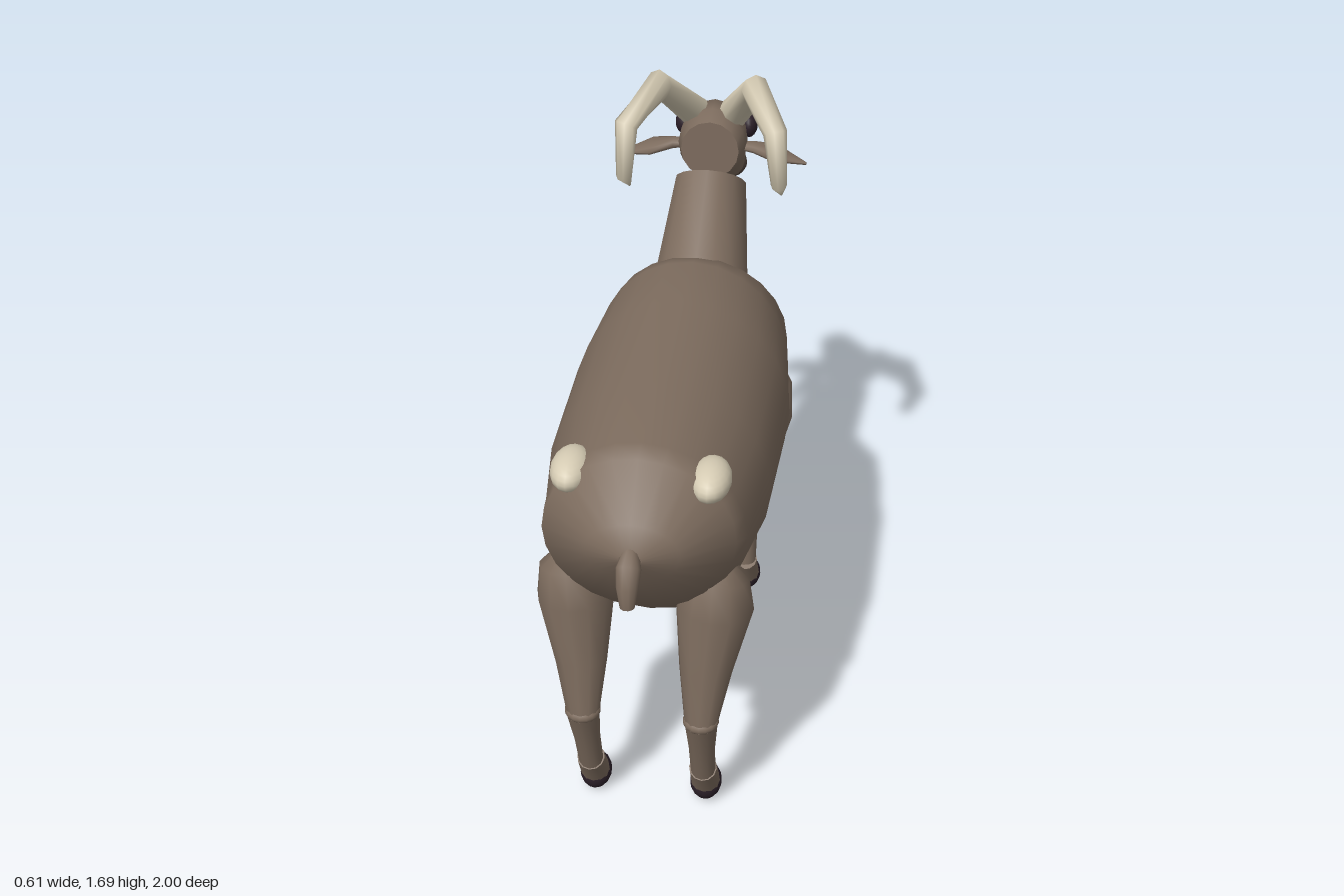
import * as THREE from 'three';

const V = (x, y, z) => new THREE.Vector3(x, y, z);
const coat = new THREE.MeshStandardMaterial({ name: 'coatBrown', color: 0x7d6c5e });
const cream = new THREE.MeshStandardMaterial({ name: 'hornCream', color: 0xd6ccb4 });
const dark = new THREE.MeshStandardMaterial({ name: 'hoofDark', color: 0x2c2029 });
const muzzle = new THREE.MeshStandardMaterial({ name: 'noseBrown', color: 0x51443c });

// Skin a row of elliptical rings {c, a, b}; a x b points along the row. Ends get flat caps.
function loft(rings, n = 16) {
  const pos = [], idx = [];
  const addRing = ({ c, a, b }) => {
    const start = pos.length / 3;
    for (let j = 0; j < n; j++) {
      const t = (j / n) * Math.PI * 2;
      const p = c.clone().addScaledVector(a, Math.cos(t)).addScaledVector(b, Math.sin(t));
      pos.push(p.x, p.y, p.z);
    }
    return start;
  };
  const starts = rings.map(addRing);
  for (let i = 0; i < rings.length - 1; i++) {
    for (let j = 0; j < n; j++) {
      const k = (j + 1) % n, p = starts[i], q = starts[i + 1];
      idx.push(p + j, p + k, q + j, p + k, q + k, q + j);
    }
  }
  [rings[0], rings[rings.length - 1]].forEach((r, end) => {
    const s = addRing(r), m = pos.length / 3;
    pos.push(r.c.x, r.c.y, r.c.z);
    for (let j = 0; j < n; j++) {
      const k = (j + 1) % n;
      if (end) idx.push(m, s + j, s + k);
      else idx.push(m, s + k, s + j);
    }
  });
  const g = new THREE.BufferGeometry();
  g.setAttribute('position', new THREE.Float32BufferAttribute(pos, 3));
  g.setIndex(idx);
  g.computeVertexNormals();
  return g;
}

// Trunk-like shape from [topZ, topY, bottomZ, bottomY, halfWidth], running towards -z
const trunk = (rows, n) => loft(rows.map(([tz, ty, bz, by, w]) => ({
  c: V(0, (ty + by) / 2, (tz + bz) / 2),
  a: V(w, 0, 0),
  b: V(0, (by - ty) / 2, (bz - tz) / 2),
})), n);

// Tapered limb through [x, y, z, radius]
function limb(pts, n = 12) {
  const p = pts.map(([x, y, z]) => V(x, y, z));
  return loft(p.map((c, i) => {
    const dir = V(0, 0, 0);
    if (i > 0) dir.add(c.clone().sub(p[i - 1]).normalize());
    if (i < p.length - 1) dir.add(p[i + 1].clone().sub(c).normalize());
    dir.normalize();
    const a = V(1, 0, 0).addScaledVector(dir, -dir.x).normalize();
    const b = dir.clone().cross(a);
    return { c, a: a.multiplyScalar(pts[i][3]), b: b.multiplyScalar(pts[i][3]) };
  }), n);
}

export function createModel() {
  const model = new THREE.Group();
  model.name = 'goat';
  const add = (name, geo, mat, parent = model) => {
    const m = new THREE.Mesh(geo, mat);
    m.name = name;
    parent.add(m);
    return m;
  };
  const ball = (name, mat, [x, y, z], [rx, ry, rz], parent) => {
    const m = add(name, new THREE.SphereGeometry(1, 16, 12), mat, parent);
    m.position.set(x, y, z);
    m.scale.set(rx, ry, rz);
    return m;
  };

  // Body, rump to chest
  add('body', trunk([
    [0.935, 1.01, 0.935, 0.98, 0.03],
    [0.91, 1.08, 0.9, 0.91, 0.12],
    [0.8, 1.2, 0.81, 0.76, 0.245],
    [0.74, 1.21, 0.65, 0.63, 0.262],
    [0.48, 1.23, 0.48, 0.6, 0.295],
    [0.07, 1.235, 0.07, 0.57, 0.305],
    [-0.15, 1.24, -0.17, 0.62, 0.277],
    [-0.24, 1.21, -0.31, 0.685, 0.262],
    [-0.45, 1.07, -0.45, 0.74, 0.19],
    [-0.49, 1.0, -0.51, 0.82, 0.1],
    [-0.53, 0.89, -0.532, 0.86, 0.02],
  ], 24), coat);

  // Neck and head
  add('neck', trunk([
    [-0.15, 1.16, -0.44, 0.94, 0.145],
    [-0.23, 1.22, -0.48, 1.02, 0.133],
    [-0.45, 1.385, -0.62, 1.235, 0.105],
  ], 16), coat);
  add('head', trunk([
    [-0.505, 1.51, -0.505, 1.335, 0.085],
    [-0.56, 1.53, -0.53, 1.325, 0.098],
    [-0.63, 1.53, -0.58, 1.3, 0.1],
    [-0.73, 1.445, -0.68, 1.252, 0.085],
    [-0.85, 1.345, -0.79, 1.2, 0.07],
    [-0.965, 1.23, -0.905, 1.147, 0.054],
  ], 16), coat);
  ball('nose', muzzle, [0, 1.183, -0.95], [0.062, 0.052, 0.05]);
  add('beard', limb([
    [0, 1.145, -0.853, 0.018], [0, 1.08, -0.846, 0.024],
    [0, 1.02, -0.835, 0.02], [0, 0.938, -0.815, 0.002],
  ], 8), cream);

  // Tail
  add('tail', limb([
    [0, 1.01, 0.915, 0.02], [0, 0.985, 0.955, 0.032],
    [0, 0.945, 0.978, 0.028], [0, 0.89, 0.982, 0.019],
  ], 10), coat);

  // Paired parts
  for (const s of [1, -1]) {
    const side = s > 0 ? 'left' : 'right';
    const mirror = (pts) => pts.map(([x, y, z, r]) => [s * x, y, z, r]);

    ball(side + 'Eye', dark, [s * 0.098, 1.442, -0.66], [0.025, 0.037, 0.037]);
    ball(side + 'Nostril', dark, [s * 0.025, 1.2, -0.989], [0.008, 0.008, 0.008]);

    // Flat leaf ear: [x, y, z, half width, half thickness]
    add(side + 'Ear', loft([
      [0.075, 1.405, -0.59, 0.018, 0.012], [0.12, 1.4, -0.595, 0.028, 0.016],
      [0.185, 1.388, -0.588, 0.053, 0.018], [0.278, 1.366, -0.575, 0.006, 0.004],
    ].map(([x, y, z, w, t]) => ({
      c: V(s * x, y, z), a: V(0, 0, w), b: V(0, -s * t, 0),
    })), 10), coat);

    add(side + 'Horn', limb(mirror([
      [0.055, 1.5, -0.6, 0.046], [0.137, 1.648, -0.44, 0.042],
      [0.21, 1.58, -0.3, 0.034], [0.222, 1.415, -0.318, 0.023],
      [0.222, 1.343, -0.408, 0.004],
    ]), 8), cream);

    ball(side + 'RumpPatch', cream, [s * 0.174, 1.13, 0.757], [0.052, 0.046, 0.085]);

    // Legs: thigh, shin and foot paths
    const legs = {
      Hind: {
        thigh: [[0.19, 0.86, 0.71, 0.03], [0.187, 0.82, 0.73, 0.085],
          [0.182, 0.72, 0.72, 0.102], [0.165, 0.54, 0.765, 0.07], [0.158, 0.39, 0.8, 0.045]],
        shin: [[0.158, 0.39, 0.8, 0.045], [0.156, 0.27, 0.765, 0.036], [0.155, 0.145, 0.725, 0.034]],
        foot: [[0.155, 0.16, 0.73, 0.038], [0.155, 0.06, 0.67, 0.041]],
        hoof: [0.155, 0.054, 0.663],
      },
      Front: {
        thigh: [[0.225, 0.865, -0.285, 0.02], [0.218, 0.81, -0.265, 0.065],
          [0.205, 0.71, -0.235, 0.085], [0.18, 0.53, -0.238, 0.062], [0.16, 0.36, -0.245, 0.042]],
        shin: [[0.16, 0.36, -0.245, 0.042], [0.156, 0.26, -0.245, 0.036], [0.155, 0.15, -0.245, 0.034]],
        foot: [[0.155, 0.15, -0.245, 0.038], [0.155, 0.06, -0.295, 0.041]],
        hoof: [0.155, 0.054, -0.306],
      },
    };
    for (const [kind, leg] of Object.entries(legs)) {
      const g = new THREE.Group();
      g.name = side + kind + 'Leg';
      model.add(g);
      add('upperLeg', limb(mirror(leg.thigh)), coat, g);
      add('lowerLeg', limb(mirror(leg.shin)), coat, g);
      add('foot', limb(mirror(leg.foot)), coat, g);
      const [kx, ky, kz] = leg.shin[0];
      ball('knee', coat, [s * kx, ky, kz], [0.048, 0.028, 0.048], g);
      const [hx, hy, hz] = leg.hoof;
      ball('hoof', dark, [s * hx, hy, hz], [0.044, 0.052, 0.053], g);
    }
  }
  return model;
}
